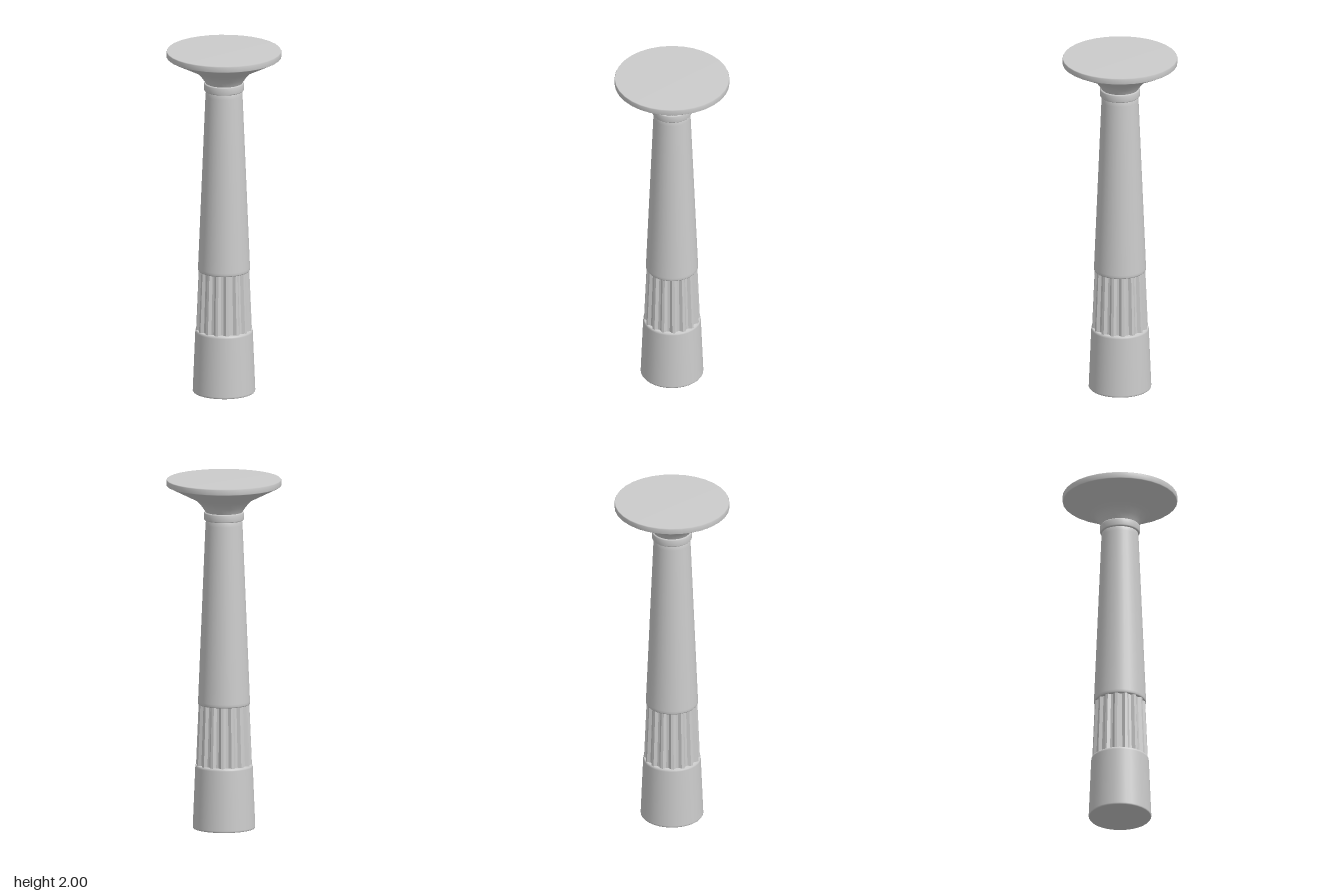
import * as THREE from 'three';

const SIDES = 32;
const FLUTES = 16;

export function createModel() {
  const group = new THREE.Group();
  const smooth = new THREE.MeshStandardMaterial({ color: 0xcccccc });
  const faceted = new THREE.MeshStandardMaterial({ color: 0xcccccc, flatShading: true });

  const add = (name, geometry, material = smooth) => {
    const mesh = new THREE.Mesh(geometry, material);
    mesh.name = name;
    group.add(mesh);
  };
  // Turned part from [radius, height] pairs, listed from bottom to top
  const turned = (name, points) =>
    add(name, new THREE.LatheGeometry(points.map(([r, y]) => new THREE.Vector2(r, y)), SIDES));

  // Tapered foot, closed below, with a softened top edge
  turned('base', [[0, 0], [0.174, 0], [0.177, 0.004], [0.177, 0.01], [0.163, 0.35],
    [0.162, 0.358], [0.157, 0.365], [0.12, 0.365]]);

  // Fluted band: every second strip of a tapered cylinder is sunk inward
  const band = new THREE.CylinderGeometry(0.143, 0.158, 0.36, FLUTES * 4, 1, true);
  const pos = band.attributes.position;
  for (let i = 0; i < pos.count; i++) {
    const step = Math.round(Math.atan2(pos.getX(i), pos.getZ(i)) / (Math.PI * 2) * FLUTES * 4);
    const sunk = ((step % 4) + 4) % 4 > 1;
    const k = sunk ? 0.91 : 1;
    pos.setXYZ(i, pos.getX(i) * k, pos.getY(i), pos.getZ(i) * k);
  }
  band.translate(0, 0.54, 0);
  add('flutedBand', band, faceted);

  // Long tapered shaft
  turned('shaft', [[0.1, 0.71], [0.144, 0.71], [0.148, 0.716], [0.147, 0.73],
    [0.105, 1.74], [0.103, 1.76], [0.1, 1.77]]);

  // Rounded collar under the top
  turned('collar', [[0.09, 1.765], [0.108, 1.767], [0.113, 1.773], [0.113, 1.807],
    [0.108, 1.813], [0.09, 1.815]]);

  // Flared top with a thin rim and flat lid
  turned('flaredTop', [[0.1, 1.8], [0.105, 1.815], [0.125, 1.845], [0.155, 1.88], [0.32, 1.963],
    [0.325, 1.967], [0.325, 1.995], [0.322, 2], [0, 2]]);

  return group;
}
